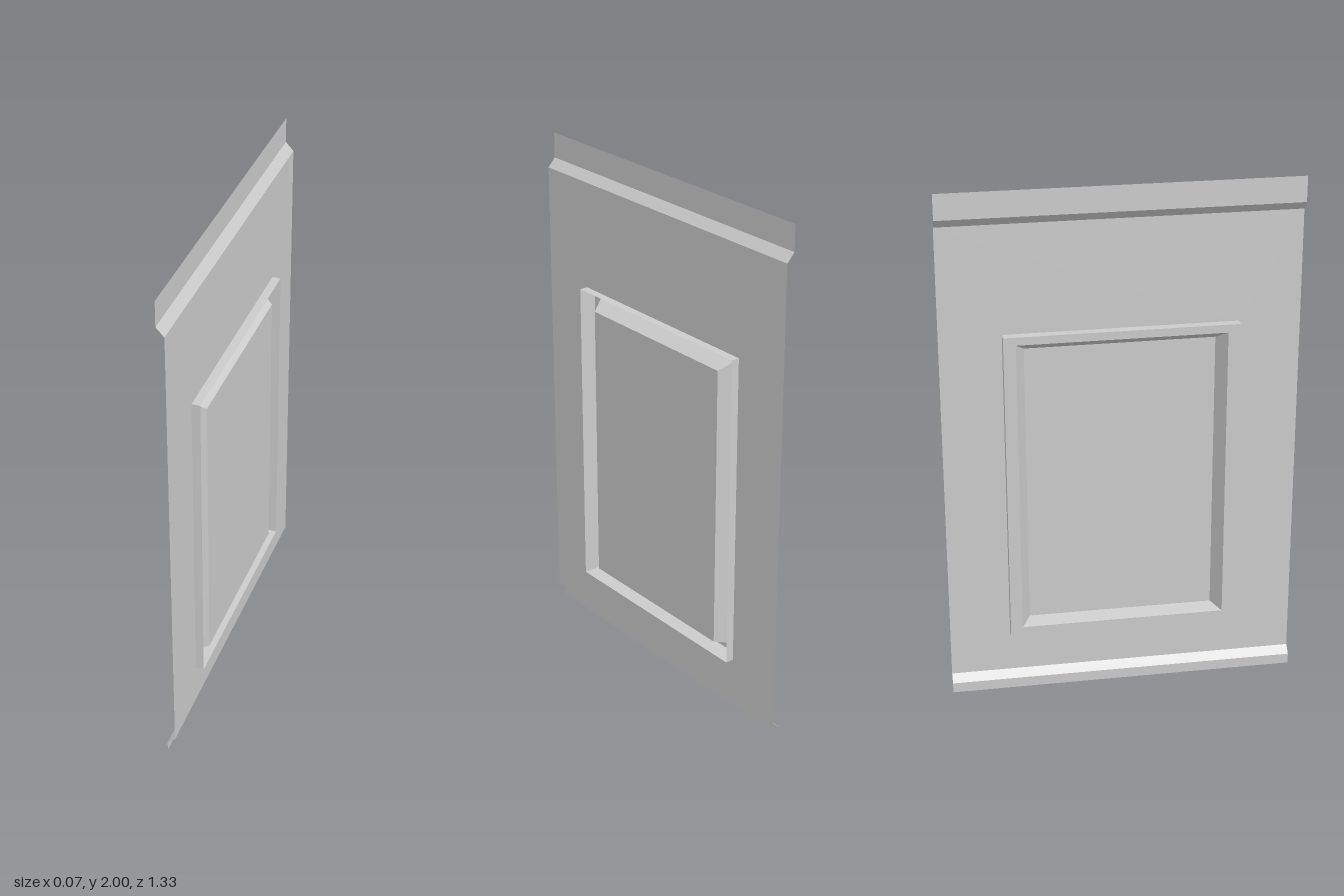
import * as THREE from 'three';

const material = new THREE.MeshStandardMaterial({ color: 0xcccccc, flatShading: true, side: THREE.DoubleSide });

// Thin surface from a list of quads (corners counter-clockwise)
function sheet(name, quads) {
  const pos = [];
  for (const [a, b, c, d] of quads) pos.push(...a, ...b, ...c, ...a, ...c, ...d);
  const geo = new THREE.BufferGeometry();
  geo.setAttribute('position', new THREE.Float32BufferAttribute(pos, 3));
  geo.computeVertexNormals();
  const mesh = new THREE.Mesh(geo, material);
  mesh.name = name;
  return mesh;
}

// Upright rectangle at depth x: half width w, from y0 to y1
const rect = (x, w, y0, y1) => [[x, y0, w], [x, y0, -w], [x, y1, -w], [x, y1, w]];

// Four quads joining two rectangles
const ring = (p, q) => p.map((a, i) => {
  const j = (i + 1) % 4;
  return [a, p[j], q[j], q[i]];
});

export function createModel() {
  const group = new THREE.Group();
  group.name = 'wallPanel';

  const W = 0.666, FACE = 0.002, LIP = -0.028, FRONT = 0.034, BACK = -0.034;

  // Strip across the full width between two [x, y] profile points
  const strip = ([xa, ya], [xb, yb]) => [[xa, ya, W], [xa, ya, -W], [xb, yb, -W], [xb, yb, W]];

  // Set-back lips with sloping steps at the bottom and top
  group.add(sheet('bottomLip', [strip([LIP, 0], [LIP, 0.04])]));
  group.add(sheet('bottomStep', [strip([LIP, 0.04], [FACE, 0.067])]));
  group.add(sheet('topStep', [strip([FACE, 1.87], [LIP, 1.903])]));
  group.add(sheet('topLip', [strip([LIP, 1.903], [LIP, 2])]));

  // Main sheet around the window opening
  const opening = [0.436, 0.23, 1.456];
  group.add(sheet('mainSheet', ring(rect(FACE, W, 0.067, 1.87), rect(FACE, ...opening))));

  // Window: outer wall, recessed rim, bevel rising to the pane
  const frontEdge = rect(FRONT, ...opening);
  const backEdge = rect(BACK, ...opening);
  const bevelFoot = rect(BACK, 0.39, 0.267, 1.425);
  const paneEdge = rect(0.028, 0.355, 0.28, 1.388);
  group.add(sheet('windowWall', ring(frontEdge, backEdge)));
  group.add(sheet('windowRim', ring(backEdge, bevelFoot)));
  group.add(sheet('windowBevel', ring(bevelFoot, paneEdge)));
  group.add(sheet('windowPane', [paneEdge]));

  return group;
}
